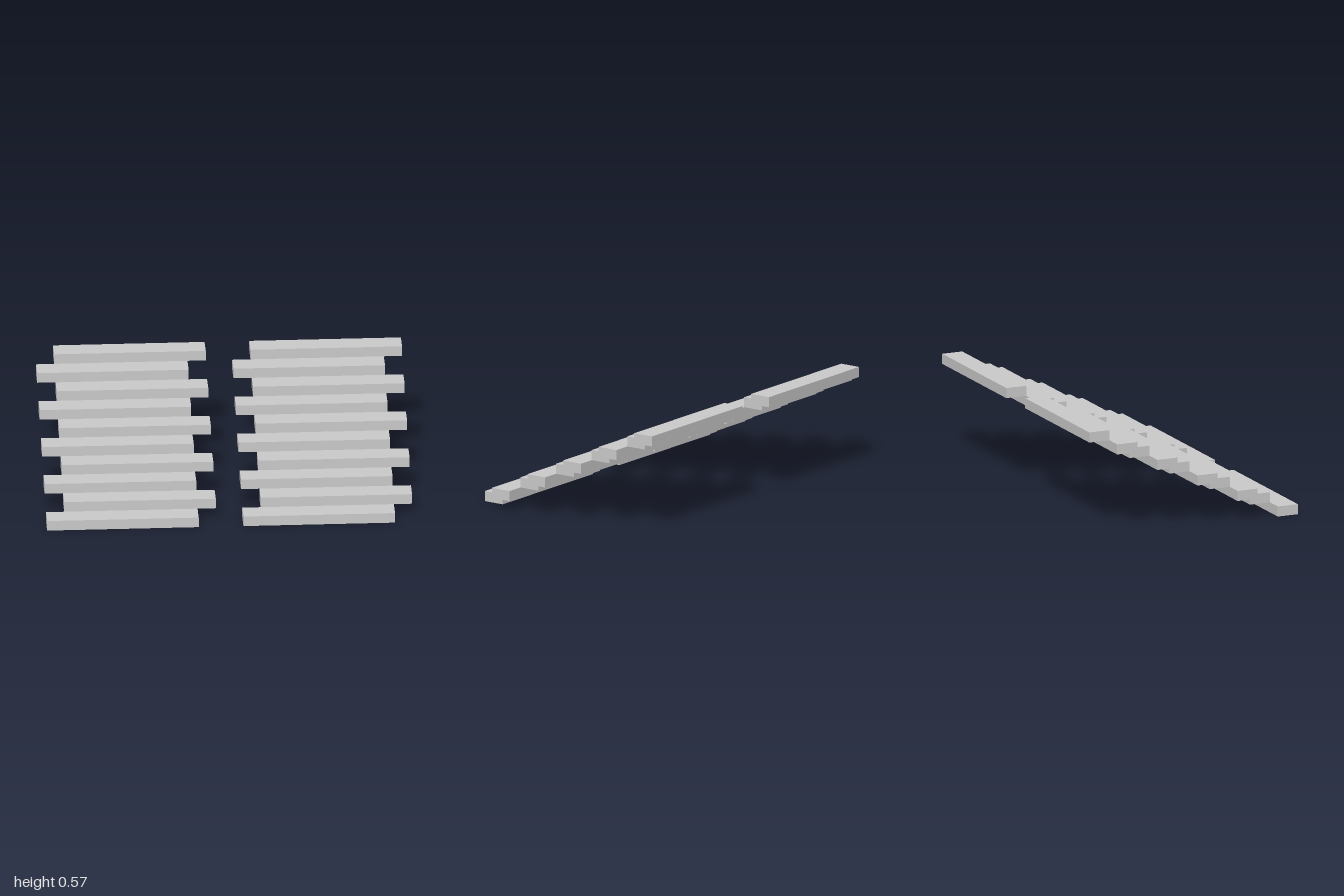
import * as THREE from 'three';

const STEPS = 10;
const WIDTH = 0.828, RISE = 0.0568, DEPTH = 0.1207;
const SIDE_OFFSET = 0.536; // centre of each flight
const STAGGER = 0.05; // alternate planks shift sideways

export function createModel() {
  const model = new THREE.Group();
  model.name = 'doublePlankStairs';
  const material = new THREE.MeshStandardMaterial({ color: 0xcccccc, flatShading: true });
  const plank = new THREE.BoxGeometry(WIDTH, RISE, DEPTH);

  // Two parallel flights, climbing from front to back
  for (const side of [-1, 1]) {
    const flight = new THREE.Group();
    flight.name = side > 0 ? 'leftFlight' : 'rightFlight';
    flight.position.x = side * SIDE_OFFSET;

    // Staggered planks, each resting edge to edge with the next
    for (let i = 0; i < STEPS; i++) {
      const step = new THREE.Mesh(plank, material);
      step.name = `step${i + 1}`;
      step.position.set(
        i % 2 ? STAGGER : -STAGGER,
        (i + 0.5) * RISE,
        ((STEPS - 1) / 2 - i) * DEPTH
      );
      flight.add(step);
    }
    model.add(flight);
  }
  return model;
}
